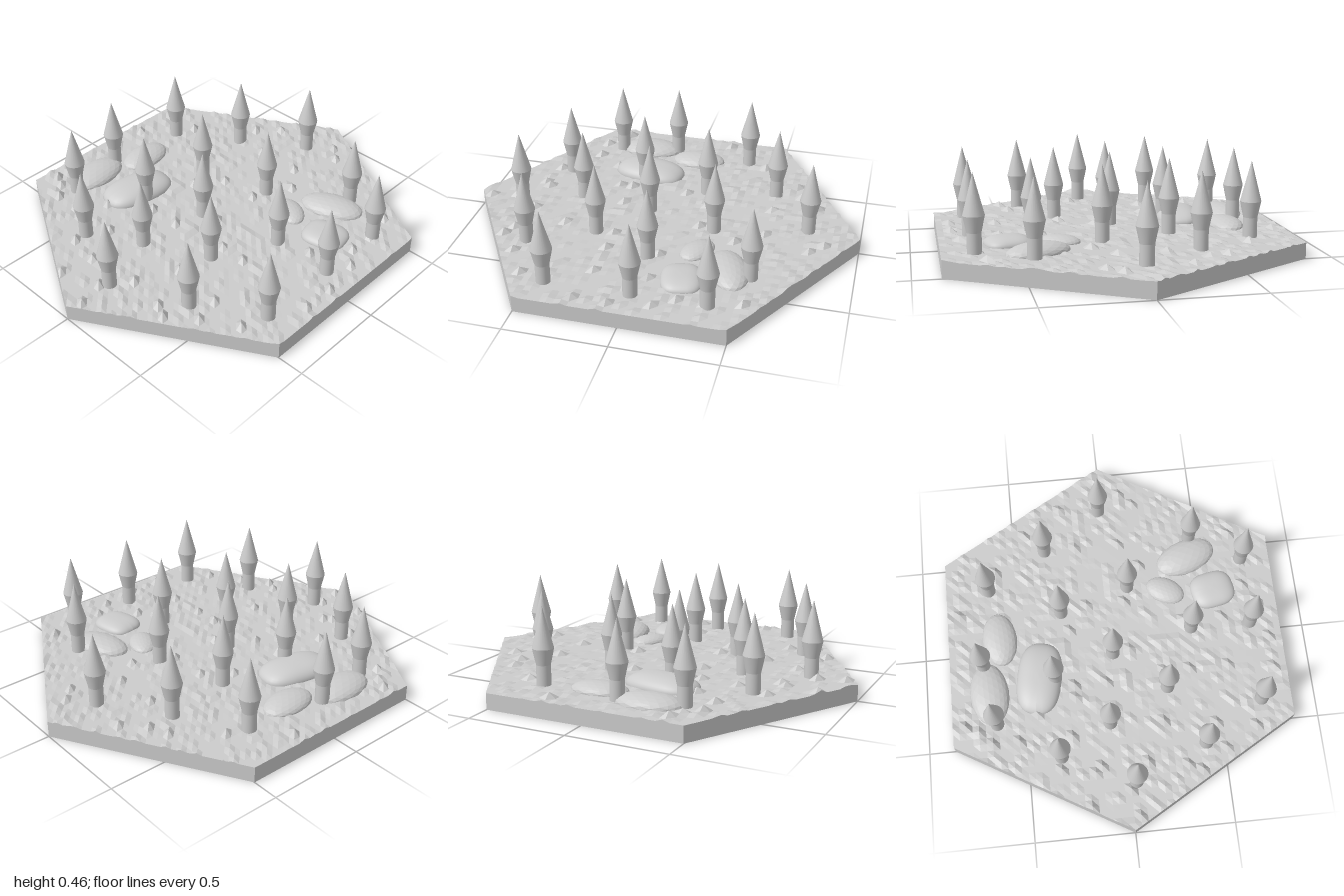
import * as THREE from 'three';
import { mergeGeometries } from 'three/addons/utils/BufferGeometryUtils.js';

const GROUND = 0.08, STEP = 1 / 30, APOTHEM = Math.sqrt(3) / 2;

// Repeatable value 0..1 for a grid point
function hash(i, j) {
  const s = Math.sin(i * 127.1 + j * 311.7) * 43758.5453;
  return s - Math.floor(s);
}

// x, z of the small pyramid-shaped tufts
const TUFTS = [
  0.10, -0.84, 0.15, -0.78, -0.24, -0.78, -0.42, -0.64, -0.33, -0.66, -0.16, -0.52, 0.07, -0.52,
  -0.61, -0.45, 0.18, -0.39, 0.65, -0.52, 0.78, -0.60, -0.81, -0.20, -0.23, -0.07, -0.12, -0.20,
  0.69, -0.38, 0.07, -0.21, 0.70, -0.25, -0.22, 0.22, -0.22, 0.31, -0.08, 0.22, 0.07, 0.08,
  0.35, 0.20, 0.55, 0.20, 0.23, 0.20, 0.81, 0.24, 0.81, 0.08, 0.78, -0.13, 0.21, 0.45,
  0.29, 0.69, 0.49, 0.64, 0.68, 0.52, 0.68, 0.68, 0.10, 0.65, -0.13, 0.65, -0.16, 0.69,
  -0.35, 0.66, 0.03, 0.93, 0.00, 0.81, -0.55, 0.51, -0.68, 0.51, -0.74, 0.44, -0.81, 0.40,
  -0.42, 0.38, -0.28, 0.49, 0.45, 0.49, 0.35, -0.08, 0.56, -0.08, -0.19, 0.88, 0.37, 0.74,
];

// Hexagonal slab: a height grid clipped to the six sides, with walls and a base
function makeTile(material) {
  const tile = new THREE.Group();
  tile.name = 'hexTile';
  const tufts = new Set();
  for (let k = 0; k < TUFTS.length; k += 2) {
    tufts.add(`${Math.round(TUFTS[k] / STEP)},${Math.round(TUFTS[k + 1] / STEP)}`);
  }
  const point = (i, j) => {
    const bump = hash(i, j) > 0.72 ? 0.012 * hash(j, i) : 0;
    const tuft = tufts.has(`${i},${j}`) ? 0.024 + 0.008 * hash(i + 5, j) : bump;
    return new THREE.Vector3(i * STEP, GROUND + tuft, j * STEP);
  };
  const sides = [];
  for (let k = 0; k < 6; k++) {
    sides.push(new THREE.Vector3(Math.cos(k * Math.PI / 3), 0, Math.sin(k * Math.PI / 3)));
  }
  const gap = (p, n) => APOTHEM - p.dot(n);
  const clip = (poly, n) => {
    const out = [];
    poly.forEach((p, k) => {
      const q = poly[(k + 1) % poly.length];
      const a = gap(p, n), b = gap(q, n);
      if (a >= 0) out.push(p);
      if (a * b < 0) out.push(p.clone().lerp(q, a / (a - b)));
    });
    return out;
  };
  const top = [], walls = [];
  const addFan = (list, poly) => {
    for (let k = 1; k < poly.length - 1; k++) {
      for (const p of [poly[0], poly[k], poly[k + 1]]) list.push(p.x, p.y, p.z);
    }
  };
  const floor = (p) => new THREE.Vector3(p.x, 0, p.z);
  const addCellPart = (corners) => {
    const poly = sides.reduce(clip, corners);
    if (poly.length < 3) return;
    addFan(top, poly);
    poly.forEach((p, k) => {
      const q = poly[(k + 1) % poly.length];
      if (sides.some((n) => Math.abs(gap(p, n)) < 1e-6 && Math.abs(gap(q, n)) < 1e-6)) {
        addFan(walls, [p, floor(p), floor(q), q]);
      }
    });
  };
  for (let i = -26; i < 26; i++) {
    for (let j = -30; j < 30; j++) {
      const a = point(i, j), b = point(i, j + 1), c = point(i + 1, j + 1), d = point(i + 1, j);
      addCellPart([a, b, c]);
      addCellPart([a, c, d]);
    }
  }
  const addMesh = (geometry, name) => {
    const mesh = new THREE.Mesh(geometry, material);
    mesh.name = name;
    tile.add(mesh);
  };
  const fromList = (list) => {
    const geometry = new THREE.BufferGeometry();
    geometry.setAttribute('position', new THREE.Float32BufferAttribute(list, 3));
    geometry.computeVertexNormals();
    return geometry;
  };
  addMesh(fromList(top), 'roughGround');
  addMesh(fromList(walls), 'tileWalls');
  addMesh(new THREE.CircleGeometry(1, 6, Math.PI / 2).rotateX(Math.PI / 2), 'tileBase');
  return tile;
}

// Pointed tree: trunk, flared lower crown, conical top
function makeTreeGeometry() {
  const section = (rTop, rBottom, y0, y1) =>
    new THREE.CylinderGeometry(rTop, rBottom, y1 - y0, 24, 1, true).translate(0, (y0 + y1) / 2, 0);
  return mergeGeometries([
    section(0.035, 0.035, 0.06, 0.18),
    section(0.052, 0.035, 0.18, 0.26),
    section(0, 0.052, 0.26, 0.46),
  ]);
}

// Boulder: faceted ellipsoid, or a smooth boxy one when power is below 1
function makeBoulderGeometry(power) {
  if (power === 1) return new THREE.IcosahedronGeometry(1, 3);
  const geometry = new THREE.SphereGeometry(1, 32, 20);
  const pos = geometry.attributes.position;
  const soften = (v) => Math.sign(v) * Math.abs(v) ** power;
  for (let k = 0; k < pos.count; k++) {
    pos.setXYZ(k, soften(pos.getX(k)), pos.getY(k), soften(pos.getZ(k)));
  }
  geometry.computeVertexNormals();
  return geometry;
}

export function createModel() {
  const model = new THREE.Group();
  model.name = 'forestTile';
  const material = new THREE.MeshStandardMaterial({ color: 0xcccccc });
  const flat = new THREE.MeshStandardMaterial({ color: 0xcccccc, flatShading: true });
  model.add(makeTile(flat));

  const treeSpots = [
    [-0.02, -0.74], [-0.33, -0.53], [0.45, -0.53], [0.71, -0.38], [-0.64, -0.33],
    [0.09, -0.28], [-0.27, -0.17], [0.40, -0.02], [0.71, -0.02], [-0.02, 0.08],
    [-0.69, 0.09], [-0.33, 0.19], [0.24, 0.29], [-0.64, 0.40], [0.71, 0.40],
    [-0.07, 0.45], [-0.33, 0.60], [0.40, 0.60], [0.03, 0.76],
  ];
  const treeGeometry = makeTreeGeometry();
  for (const [x, z] of treeSpots) {
    const tree = new THREE.Mesh(treeGeometry, material);
    tree.name = 'tree';
    tree.position.set(x, 0, z);
    model.add(tree);
  }

  // x, z, half length, half width, height above ground, turn, boxiness
  const boulders = [
    [0.42, -0.42, 0.165, 0.095, 0.05, 0.35, 1],
    [0.29, -0.24, 0.105, 0.07, 0.035, -0.5, 1],
    [0.54, -0.22, 0.115, 0.10, 0.04, 0.2, 0.7],
    [-0.60, -0.05, 0.145, 0.09, 0.045, -1.5, 1],
    [-0.41, 0.18, 0.19, 0.115, 0.06, 1.4, 0.75],
    [-0.67, 0.24, 0.165, 0.10, 0.05, -1.5, 1],
  ];
  for (const [x, z, length, width, height, turn, power] of boulders) {
    const boulder = new THREE.Mesh(makeBoulderGeometry(power), power === 1 ? flat : material);
    boulder.name = 'boulder';
    boulder.position.set(x, GROUND, z);
    boulder.scale.set(length, height, width);
    boulder.rotation.y = turn;
    model.add(boulder);
  }
  return model;
}
